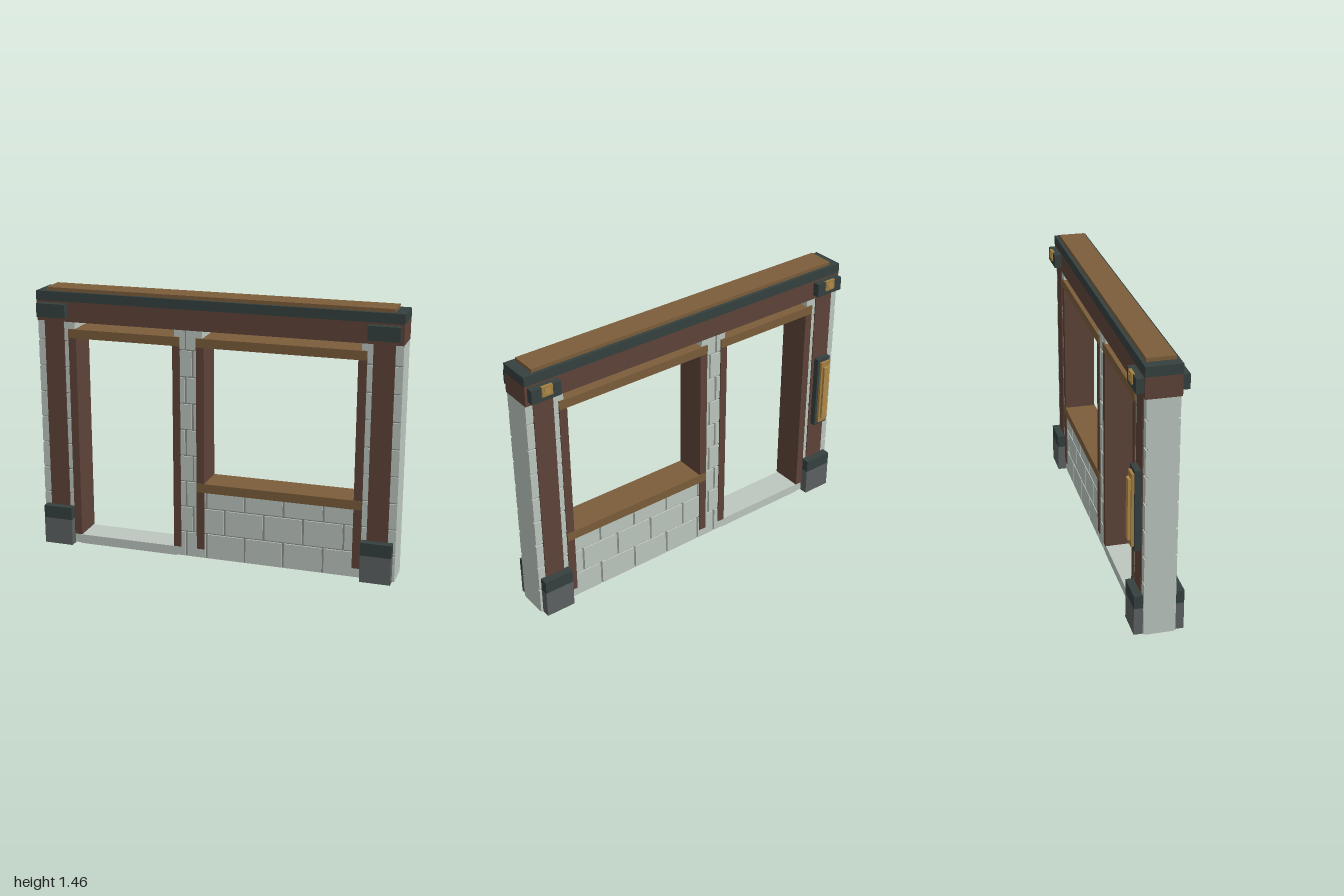
import * as THREE from 'three';

const mat = (name, color) => {
  const m = new THREE.MeshStandardMaterial({ color });
  m.name = name;
  return m;
};

export function createModel() {
  const brickMat = mat('pale brick', 0xbcc6bf);
  const mortarMat = mat('grey mortar', 0x8b8f89);
  const timber = mat('dark brown timber', 0x5e4338);
  const iron = mat('dark iron', 0x34403f);
  const stone = mat('grey stone', 0x5d6161);
  const oak = mat('light oak', 0x7b5d3a);
  const gold = mat('gold', 0xa47f42);
  const paleGold = mat('pale gold', 0xb08a48);

  const group = new THREE.Group();
  group.name = 'wallWithDoorAndWindow';
  const ZC = 0.0115; // middle plane of the wall

  // Box given by its limits
  const box = (name, material, x0, x1, y0, y1, z0, z1, parent = group) => {
    const mesh = new THREE.Mesh(new THREE.BoxGeometry(x1 - x0, y1 - y0, z1 - z0), material);
    mesh.position.set((x0 + x1) / 2, (y0 + y1) / 2, (z0 + z1) / 2);
    mesh.name = name;
    parent.add(mesh);
    return mesh;
  };
  // Box centred on the wall's middle plane
  const slab = (name, material, x0, x1, y0, y1, half, parent) =>
    box(name, material, x0, x1, y0, y1, ZC - half, ZC + half, parent);

  // Masonry: core, mortar skin and staggered bricks on both faces
  const CORE = 0.072, FACE = 0.082, ROW = 0.1457, GAP = 0.006;
  const masonry = (name, x0, x1, top, evenCuts, oddCuts) => {
    const wall = new THREE.Group();
    wall.name = name;
    group.add(wall);
    slab('wallCore', brickMat, x0, x1, 0, top, CORE);
    slab('mortar', mortarMat, x0 + 0.004, x1 - 0.004, 0.002, top - 0.002, CORE + 0.002, wall);
    for (let row = 0; row * ROW < top - 0.01; row++) {
      const y0 = row * ROW + (row ? GAP : 0.004);
      const y1 = Math.min((row + 1) * ROW - GAP + 0.003, top);
      const edges = [x0, ...(row % 2 ? oddCuts : evenCuts), x1];
      for (let i = 0; i < edges.length - 1; i++) {
        const a = edges[i] + (i ? GAP : 0);
        const b = edges[i + 1] - (i < edges.length - 2 ? GAP : 0);
        for (const s of [-1, 1]) {
          const zs = [ZC + s * CORE, ZC + s * FACE].sort((p, q) => p - q);
          box('brick', brickMat, a, b, y0, y1, zs[0], zs[1], wall);
        }
      }
    }
  };
  masonry('rightEndWall', -0.998, -0.785, 1.28, [], []);
  masonry('leftEndWall', 0.785, 0.998, 1.28, [], []);
  masonry('middlePier', -0.215, -0.06, 1.28, [-0.155], [-0.115]);
  masonry('windowPanel', -0.06, 0.785, 0.39,
    [-0.04, 0.176, 0.392, 0.61], [0.064, 0.283, 0.5, 0.72]);
  slab('doorThreshold', brickMat, -0.785, -0.215, 0, 0.052, FACE);

  // Door and window frames
  for (const [x0, x1] of [[-0.82, -0.777], [-0.226, -0.185], [-0.094, -0.05], [0.77, 0.815]])
    slab('jamb', timber, x0, x1, 0.055, 1.2, 0.087);
  slab('doorLintel', oak, -0.82, -0.185, 1.187, 1.236, 0.0895);
  slab('windowLintel', oak, -0.094, 0.815, 1.187, 1.236, 0.0895);
  slab('windowSill', oak, -0.092, 0.813, 0.385, 0.435, 0.0895);

  // Top beam, cap and plank
  slab('topBeam', timber, -0.999, 0.999, 1.275, 1.385, 0.0895);
  slab('beamCap', iron, -1, 1, 1.385, 1.436, 0.0905);
  slab('topPlank', oak, -0.945, 0.945, 1.436, 1.455, 0.0715);

  // Corner posts with feet and brackets on both faces
  for (const side of [-1, 1]) {
    const across = (name, m, inner, outer, y0, y1, z0, z1) => {
      const xs = [side * inner, side * outer].sort((p, q) => p - q);
      box(name, m, xs[0], xs[1], y0, y1, z0, z1);
    };
    for (const face of [-1, 1]) {
      const zs = (a, b) => [ZC + face * a, ZC + face * b].sort((p, q) => p - q);
      across('cornerPost', timber, 0.845, 0.957, 0.01, 1.3, ...zs(0.06, 0.0875));
      across('postFoot', stone, 0.82, 0.985, 0, 0.15, ...zs(0.0735, 0.128));
      across('footCap', iron, 0.82, 0.985, 0.15, 0.221, ...zs(0.0735, 0.128));
      across('postBracket', iron, 0.82, 0.985, 1.3, 1.375, ...zs(0.07, 0.128));
    }
    // Gold studs on the back brackets
    across('bracketStud', gold, 0.87, 0.93, 1.325, 1.38, -0.124, -0.108);
    across('studCentre', paleGold, 0.884, 0.916, 1.337, 1.367, -0.127, -0.124);
  }

  // Long plaque on the back of the right post
  box('plaqueBase', iron, -0.95, -0.862, 0.457, 0.89, -0.108, -0.074);
  box('plaqueFrame', gold, -0.94, -0.878, 0.477, 0.87, -0.122, -0.108);
  box('plaqueCentre', paleGold, -0.928, -0.89, 0.51, 0.84, -0.136, -0.122);

  return group;
}
